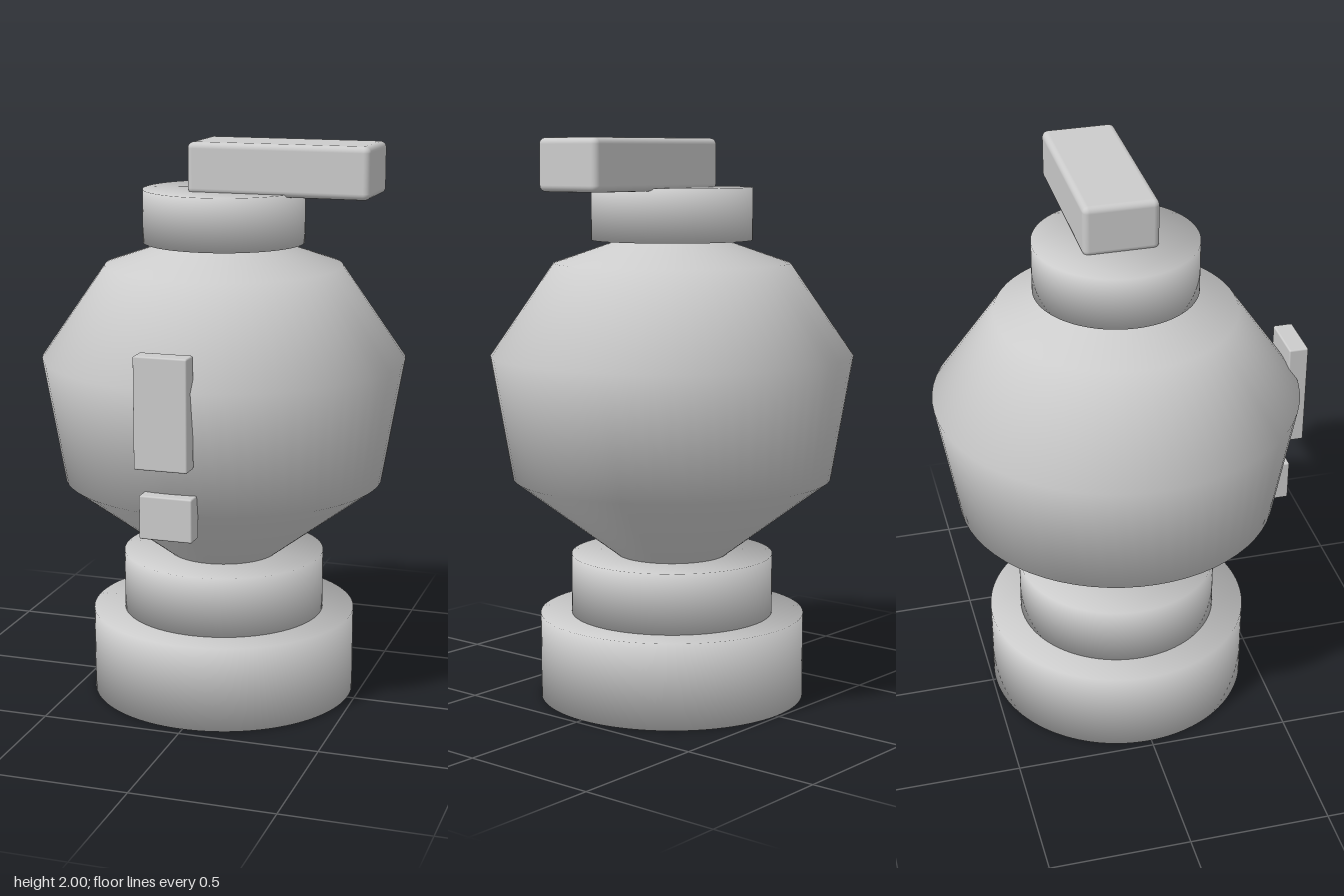
import * as THREE from 'three';
import { RoundedBoxGeometry } from 'three/addons/geometries/RoundedBoxGeometry.js';

const AXIS_Z = -0.014;

export function createModel() {
  const group = new THREE.Group();
  const material = new THREE.MeshStandardMaterial({ color: 0xcccccc });

  function add(name, geometry) {
    const mesh = new THREE.Mesh(geometry, material);
    mesh.name = name;
    group.add(mesh);
    return mesh;
  }

  // Closed drum whose normals blend smoothly across the rims and caps
  function drum(name, radius, y0, y1) {
    const circle = new THREE.Shape().absarc(0, 0, radius, 0, Math.PI * 2);
    const geometry = new THREE.ExtrudeGeometry(circle, {
      depth: y1 - y0, bevelEnabled: false, curveSegments: 64,
    });
    geometry.rotateX(-Math.PI / 2).translate(0, y0, 0);
    const { position, normal } = geometry.attributes;
    const n = new THREE.Vector3();
    for (let i = 0; i < position.count; i++) {
      const side = position.getY(i) > (y0 + y1) / 2 ? 1 : -1;
      n.set(position.getX(i) / radius, side, position.getZ(i) / radius).normalize();
      normal.setXYZ(i, n.x, n.y, n.z);
    }
    add(name, geometry).position.z = AXIS_Z;
  }

  // Softly rounded block given by its two opposite corners
  function block(name, min, max, bevel) {
    const box = new THREE.Box3(new THREE.Vector3(...min), new THREE.Vector3(...max));
    const size = box.getSize(new THREE.Vector3());
    const mesh = add(name, new RoundedBoxGeometry(size.x, size.y, size.z, 3, bevel));
    box.getCenter(mesh.position);
  }

  // Stacked foot and top neck
  drum('base', 0.475, 0, 0.305);
  drum('lowerCollar', 0.362, 0.305, 0.52);
  drum('neck', 0.285, 1.645, 1.83);

  // Faceted-profile round body, its ends hidden in the collar and neck
  const profile = [[0, 0.37], [0.57, 0.8], [0.645, 1.24], [0.42, 1.565], [0, 1.71]];
  const body = new THREE.LatheGeometry(profile.map(p => new THREE.Vector2(...p)), 64);
  add('body', body).position.z = AXIS_Z;

  // Top lever and the two front plates
  block('lever', [-0.095, 1.82, -0.147], [0.55, 2, 0.115], 0.022);
  block('upperFrontPlate', [-0.095, 0.98, 0.59], [0.09, 1.36, 0.66], 0.006);
  block('lowerFrontPlate', [-0.095, 0.73, 0.545], [0.09, 0.88, 0.615], 0.006);

  return group;
}
